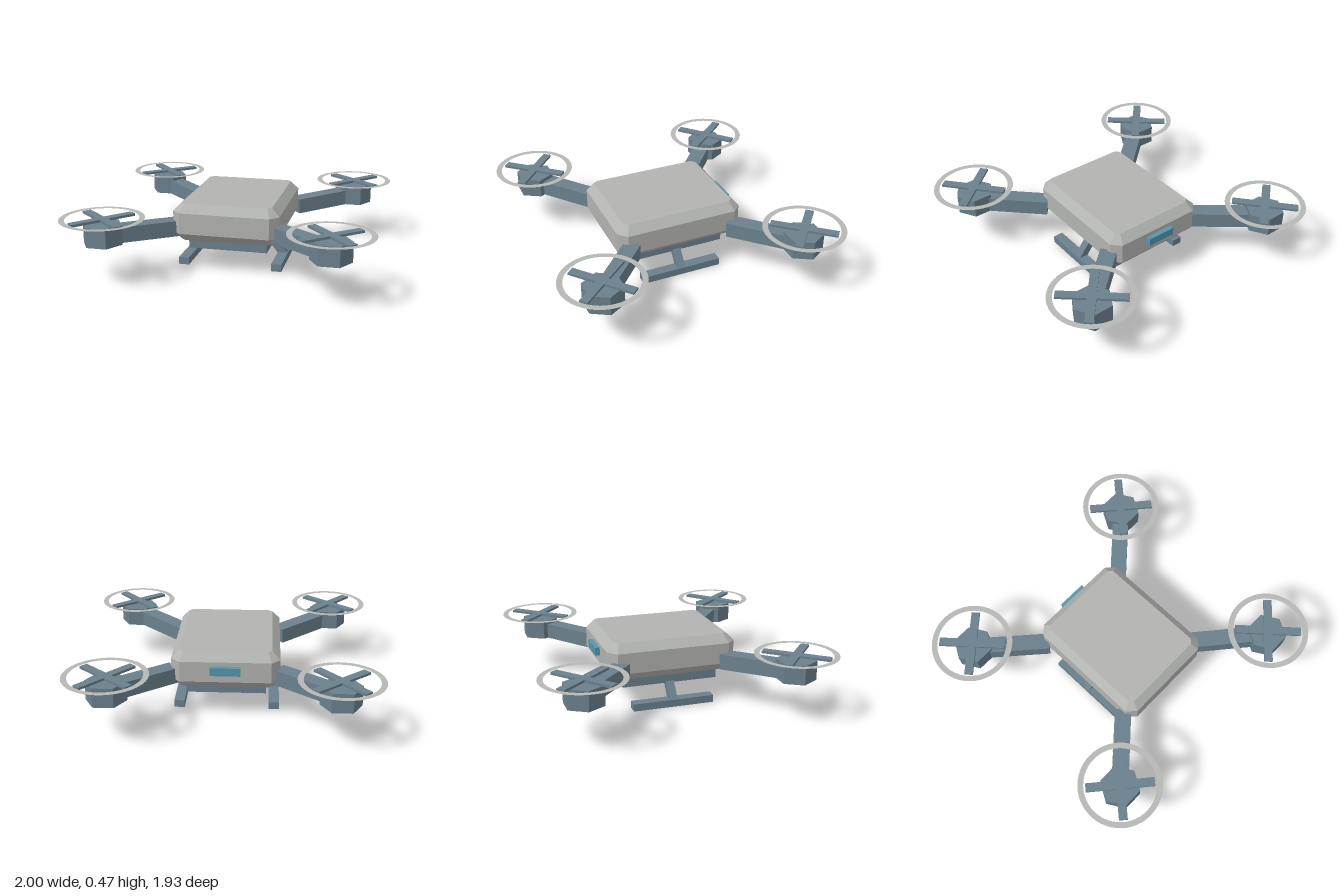
import * as THREE from 'three';

export function createModel() {
  const group = new THREE.Group();
  const shell = new THREE.MeshStandardMaterial({ name: 'light grey shell', color: 0xb2b4b1 });
  const guard = new THREE.MeshStandardMaterial({ name: 'grey guard', color: 0xb6b8b6, side: THREE.DoubleSide });
  const slate = new THREE.MeshStandardMaterial({ name: 'slate frame', color: 0x6b808c });
  const teal = new THREE.MeshStandardMaterial({ name: 'teal light', color: 0x5597ac });

  function add(parent, name, geometry, material, x = 0, y = 0, z = 0) {
    const mesh = new THREE.Mesh(geometry, material);
    mesh.name = name;
    mesh.position.set(x, y, z);
    parent.add(mesh);
    return mesh;
  }
  const box = (w, h, d) => new THREE.BoxGeometry(w, h, d);

  // Box beam whose length runs between two points
  function beam(parent, name, a, b, width, height) {
    const mesh = add(parent, name, box(width, height, a.distanceTo(b)), slate);
    mesh.position.copy(a).add(b).multiplyScalar(0.5);
    mesh.lookAt(b);
    return mesh;
  }

  // Chamfered shell: cut-corner outline extruded upward with a flat bevel
  const hx = 0.303, hz = 0.388, cut = 0.026, bevel = 0.052, rise = 0.055;
  const outline = new THREE.Shape([
    [hx, hz - cut], [hx - cut, hz], [cut - hx, hz], [-hx, hz - cut],
    [-hx, cut - hz], [cut - hx, -hz], [hx - cut, -hz], [hx, cut - hz],
  ].map(([x, y]) => new THREE.Vector2(x, y)));
  const bodyGeometry = new THREE.ExtrudeGeometry(outline, {
    depth: 0.14, bevelEnabled: true, bevelSegments: 1, bevelSize: bevel, bevelThickness: rise,
  });
  bodyGeometry.rotateX(-Math.PI / 2);
  add(group, 'body', bodyGeometry, shell, 0, 0.22 + rise, 0);

  // Underside plate, sensor and rear light
  add(group, 'bellyPlate', box(0.53, 0.08, 0.66), slate, 0, 0.188, 0);
  add(group, 'bellySensor', box(0.08, 0.025, 0.09), slate, 0, 0.145, -0.16);
  add(group, 'rearLight', box(0.2, 0.055, 0.04), teal, 0, 0.36, -0.452);

  // Four arms, each with a motor pod, crossed blades and a flat guard ring
  const podGeometry = new THREE.CylinderGeometry(0.132, 0.132, 0.13, 6).rotateY(Math.PI / 2).toNonIndexed();
  podGeometry.computeVertexNormals();
  const ringGeometry = new THREE.RingGeometry(0.235, 0.272, 48).rotateX(-Math.PI / 2);
  const bladeGeometry = box(0.444, 0.016, 0.056);
  for (const sx of [1, -1]) {
    for (const sz of [1, -1]) {
      const rotor = new THREE.Group();
      rotor.name = (sz > 0 ? 'front' : 'rear') + (sx > 0 ? 'Left' : 'Right') + 'Rotor';
      group.add(rotor);
      beam(rotor, 'arm',
        new THREE.Vector3(sx * 0.343, 0.298, sz * 0.352),
        new THREE.Vector3(sx * 0.7, 0.316, sz * 0.667), 0.11, 0.104);
      const x = sx * 0.727, z = sz * 0.693;
      add(rotor, 'motorPod', podGeometry, slate, x, 0.326, z);
      for (const turn of [0, Math.PI / 2]) {
        const blade = add(rotor, 'blade', bladeGeometry, slate, x, 0.42, z);
        blade.rotation.y = -sx * sz * THREE.MathUtils.degToRad(49) + turn;
      }
      add(rotor, 'guardRing', ringGeometry, guard, x, 0.426, z);
    }
  }

  // Landing gear: slanted strut and long skid on each side
  for (const s of [1, -1]) {
    const gear = new THREE.Group();
    gear.name = s > 0 ? 'leftLandingGear' : 'rightLandingGear';
    group.add(gear);
    const strutShape = new THREE.Shape([
      [0.2, 0.16], [0.265, 0.16], [0.353, 0.05], [0.34, 0], [0.286, 0.05],
    ].map(([x, y]) => new THREE.Vector2(s * x, y)));
    const strut = new THREE.ExtrudeGeometry(strutShape, { depth: 0.054, bevelEnabled: false });
    add(gear, 'strut', strut, slate, 0, 0, -0.027);
    add(gear, 'skid', box(0.07, 0.05, 0.56), slate, s * 0.32, 0.031, 0);
  }
  return group;
}
